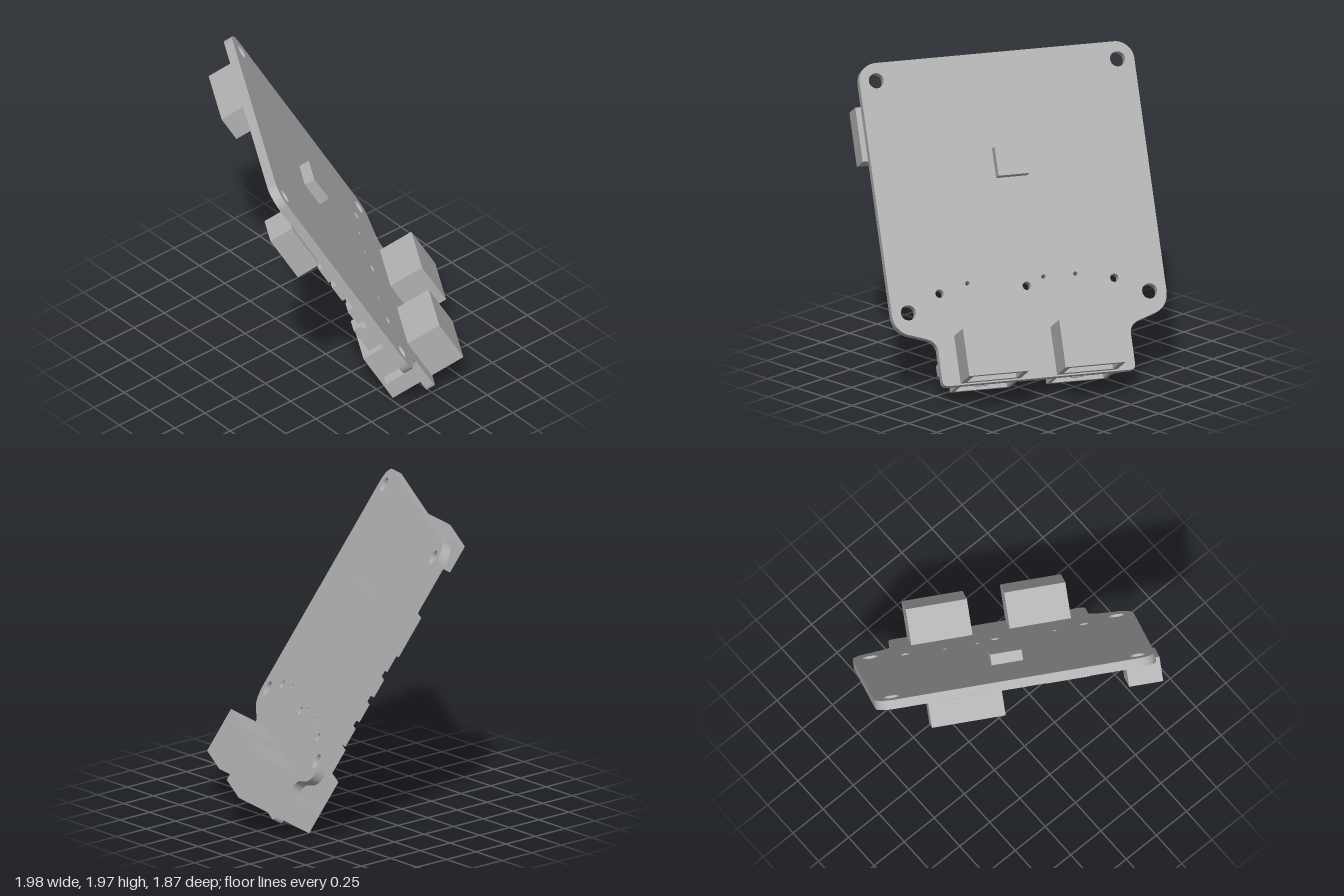
import * as THREE from 'three';

const T = 0.06; // board thickness: back face at z = 0, component face at z = T

export function createModel() {
  const model = new THREE.Group();
  model.name = 'circuitBoardModel';
  const grey = new THREE.MeshStandardMaterial({ color: 0xb2b2b2 });
  grey.name = 'plain grey';

  // Tilted frame of the board: x along its width, y up its length, z out of the component side
  const board = new THREE.Group();
  board.name = 'tiltedBoard';
  const c = Math.cos(Math.PI / 6);
  const u = new THREE.Vector3(c, 0, 0.5);
  const v = new THREE.Vector3(-0.25, c, 0.5 * c);
  const n = new THREE.Vector3().crossVectors(u, v);
  board.quaternion.setFromRotationMatrix(new THREE.Matrix4().makeBasis(u, v, n));
  board.position.set(0.005, 1.218, 0.04);
  model.add(board);

  // Box from its limits along each board axis
  function box(name, x0, x1, y0, y1, z0, z1, parent = board) {
    const mesh = new THREE.Mesh(new THREE.BoxGeometry(x1 - x0, y1 - y0, z1 - z0), grey);
    mesh.position.set((x0 + x1) / 2, (y0 + y1) / 2, (z0 + z1) / 2);
    mesh.name = name;
    parent.add(mesh);
    return mesh;
  }

  // Board outline with rounded corners and a narrower tab at the bottom
  const s = new THREE.Shape();
  s.moveTo(-0.6, -1.25);
  s.lineTo(0.6, -1.25);
  s.quadraticCurveTo(0.635, -1.25, 0.635, -1.21);
  s.lineTo(0.635, -1.02);
  s.quadraticCurveTo(0.635, -0.96, 0.7, -0.935);
  s.lineTo(0.82, -0.895);
  s.quadraticCurveTo(0.905, -0.86, 0.905, -0.755);
  s.absarc(0.785, 0.75, 0.12, 0, Math.PI / 2, false);
  s.absarc(-0.785, 0.75, 0.12, Math.PI / 2, Math.PI, false);
  s.lineTo(-0.905, -0.755);
  s.quadraticCurveTo(-0.905, -0.86, -0.82, -0.895);
  s.lineTo(-0.7, -0.935);
  s.quadraticCurveTo(-0.635, -0.96, -0.635, -1.02);
  s.lineTo(-0.635, -1.21);
  s.quadraticCurveTo(-0.635, -1.25, -0.6, -1.25);

  // Mounting holes and locating holes
  const hole = (x, y, r) => s.holes.push(new THREE.Path().absarc(x, y, r, 0, Math.PI * 2, true));
  for (const x of [-0.795, 0.795]) for (const y of [-0.755, 0.755]) hole(x, y, 0.049);
  for (const x of [-0.577, 0, 0.575]) hole(x, -0.65, 0.027);
  for (const x of [-0.328, -0.118, 0.383]) hole(x, -0.6, 0.014);
  const plate = new THREE.Mesh(
    new THREE.ExtrudeGeometry(s, { depth: T, bevelEnabled: false, curveSegments: 16 }), grey);
  plate.name = 'boardPlate';
  board.add(plate);

  // Large parts on the component side
  box('topSocket', -0.576, -0.1, 0.68, 0.872, T, 0.22);
  box('sideSocket', 0.72, 0.94, 0.253, 0.606, T, 0.22);
  box('upperChip', 0.19, 0.473, 0.454, 0.745, T, 0.085);
  box('tallChip', -0.77, -0.455, 0.077, 0.368, T, 0.14);
  box('flatChip', -0.425, -0.147, 0.085, 0.358, T, 0.09);
  for (let i = 0; i < 6; i++) {
    const x = -0.701 + i * 0.2396;
    box('rowChip', x, x + 0.216, -0.518, -0.289, T, 0.085);
  }

  // Small upright parts: left edge, top edge
  const small = [
    [-0.785, -0.093], [-0.68, -0.093], [-0.575, -0.093],
    [0.043, -0.093], [0.141, -0.093], [0.283, -0.093], [0.382, -0.093], [0.673, -0.093],
    [-0.764, 0.087], [-0.68, 0.087], [0.573, 0.118], [0.668, 0.081],
    [-0.78, -0.278], [-0.78, -0.458], [0.72, -0.278], [0.72, -0.458],
  ];
  for (const [x, y] of small) box('smallPart', x, x + 0.07, y - 0.13, y, T, 0.125);
  box('lowPart', -0.32, -0.25, -0.225, -0.1, T, 0.09);
  box('lowPart', 0.585, 0.655, -0.223, -0.093, T, 0.1);
  box('lowPart', -0.18, -0.038, -0.2, -0.137, T, 0.09);

  // Chip on the plain side
  box('backChip', -0.1, 0.103, 0.06, 0.25, -0.07, 0);

  // Hollow socket, open at the bottom end
  function socket(name, x0, x1, y0, y1, z0, z1, wall, keyAtFront) {
    const g = new THREE.Group();
    g.name = name;
    board.add(g);
    box('leftWall', x0, x0 + wall, y0, y1, z0, z1, g);
    box('rightWall', x1 - wall, x1, y0, y1, z0, z1, g);
    box('innerWall', x0 + wall, x1 - wall, y0, y1, z0, z0 + wall, g);
    box('outerWall', x0 + wall, x1 - wall, y0, y1, z1 - wall, z1, g);
    box('endWall', x0 + wall, x1 - wall, y1 - wall, y1, z0 + wall, z1 - wall, g);
    const mid = (x0 + x1) / 2;
    const k = keyAtFront ? z1 - wall - 0.02 : z0 + wall;
    box('key', mid - 0.04, mid + 0.04, y0 + 0.02, y1 - wall, k, k + 0.02, g);
    return g;
  }

  // Two pairs of cable sockets, one on each side of the tab
  for (const x of [-0.512, 0.123]) {
    const w = 0.395;
    socket('backSocket', x, x + w, -1.24, -0.93, -0.235, 0, 0.035, false);
    const g = socket('frontSocket', x, x + w, -1.24, -0.862, T, 0.29, 0.025, true);
    for (const dx of [0.044, 0.242])
      box('latchBlock', x + dx, x + dx + 0.105, -0.862, -0.664, T, 0.24, g);
    box('leftEar', x - 0.078, x, -1.14, -1.065, T, 0.255, g);
    box('rightEar', x + w, x + w + 0.078, -1.14, -1.065, T, 0.255, g);
  }
  return model;
}
